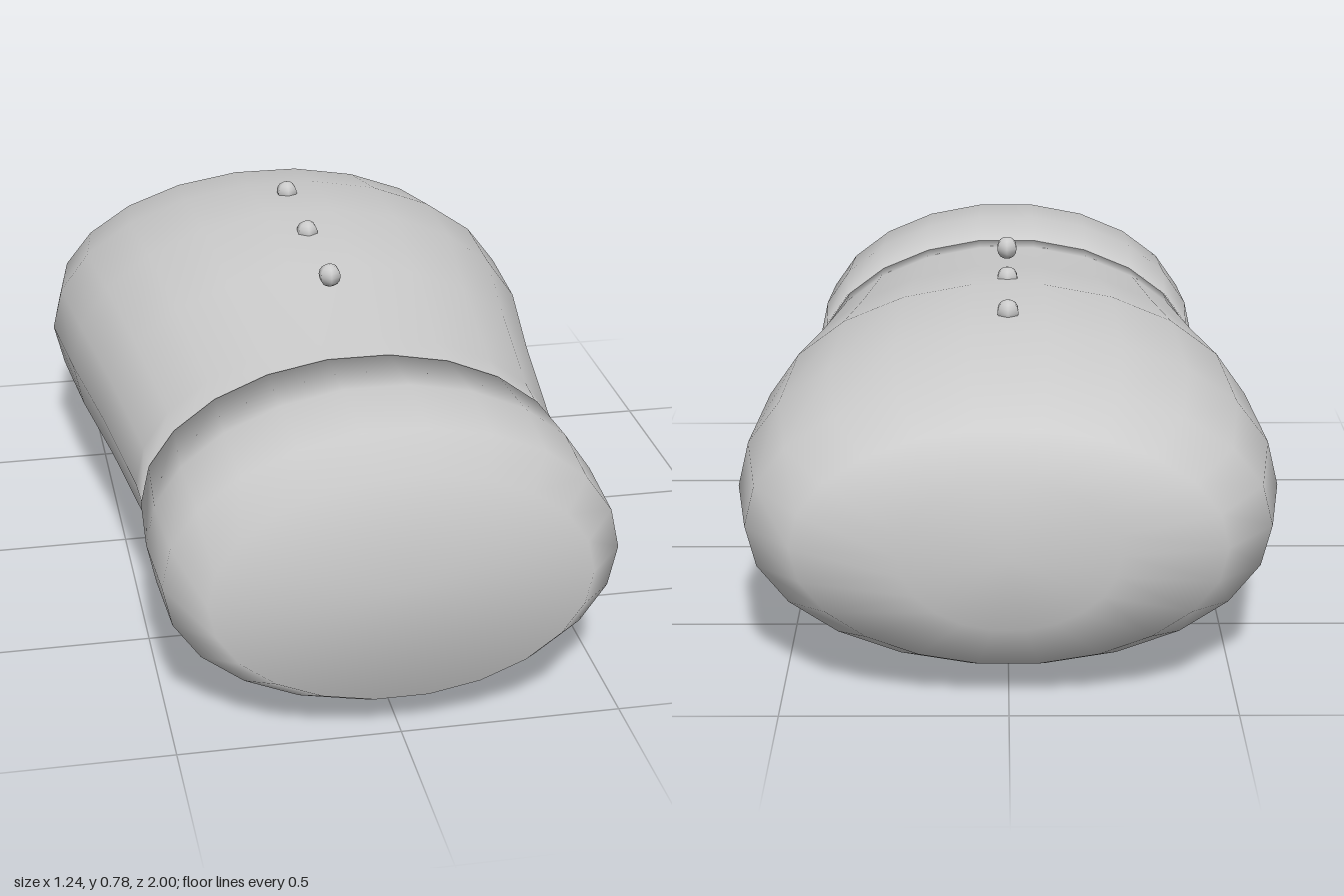
import * as THREE from 'three';

const SIDES = 22;

// Closed loft through elliptical rings [z, halfWidth, top, bottom], ordered front to back.
function loft(rings, backZ) {
  const pos = [], index = [];
  const flat = Math.sin((Math.PI * 2 * 5) / SIDES); // highest vertex sits just under the ellipse top
  for (const [z, rx, top, bottom] of rings) {
    const cy = (top + bottom) / 2, ry = (top - bottom) / 2 / flat;
    for (let j = 0; j < SIDES; j++) {
      const a = (j / SIDES) * Math.PI * 2;
      pos.push(Math.cos(a) * rx, cy + Math.sin(a) * ry, z);
    }
  }
  const first = rings[0], last = rings[rings.length - 1];
  const front = pos.length / 3, back = front + 1;
  pos.push(0, (first[2] + first[3]) / 2, first[0]);
  pos.push(0, (last[2] + last[3]) / 2, backZ);

  const end = (rings.length - 1) * SIDES;
  for (let j = 0; j < SIDES; j++) {
    const k = (j + 1) % SIDES;
    for (let r = 0; r < end; r += SIDES) {
      const a = r + j, b = r + k, c = a + SIDES, d = b + SIDES;
      index.push(a, c, b, b, c, d);
    }
    index.push(front, j, k, back, end + k, end + j);
  }
  const g = new THREE.BufferGeometry();
  g.setAttribute('position', new THREE.Float32BufferAttribute(pos, 3));
  g.setIndex(index);
  g.computeVertexNormals();
  return g;
}

export function createModel() {
  const group = new THREE.Group();
  group.name = 'mitten';
  const grey = new THREE.MeshStandardMaterial({ color: 0xcccccc });
  grey.name = 'light grey';

  const add = (name, geometry) => {
    const mesh = new THREE.Mesh(geometry, grey);
    mesh.name = name;
    group.add(mesh);
    return mesh;
  };

  // Padded hand, swelling towards the rounded back end
  add('hand', loft([
    [0.5, 0.505, 0.685, 0.033],
    [0.4, 0.508, 0.69, 0.03],
    [0.05, 0.55, 0.73, 0.015],
    [-0.25, 0.595, 0.765, 0.003],
    [-0.55, 0.62, 0.737, 0],
    [-0.79, 0.583, 0.69, 0.03],
    [-0.925, 0.475, 0.63, 0.09],
    [-0.975, 0.24, 0.53, 0.19],
  ], -1));

  // Cuff with a bevelled front rim
  add('cuff', loft([
    [1, 0.425, 0.63, 0.09],
    [0.9, 0.51, 0.69, 0.03],
    [0.7, 0.52, 0.702, 0.016],
    [0.5, 0.508, 0.687, 0.033],
  ], 0.5));

  // Row of three small beads along the top
  const bead = new THREE.SphereGeometry(0.028, 6, 8);
  bead.rotateY(Math.PI / 6);
  [0.155, -0.143, -0.44].forEach((z, i) => {
    add('bead' + (i + 1), bead).position.set(0, 0.752, z);
  });

  return group;
}
